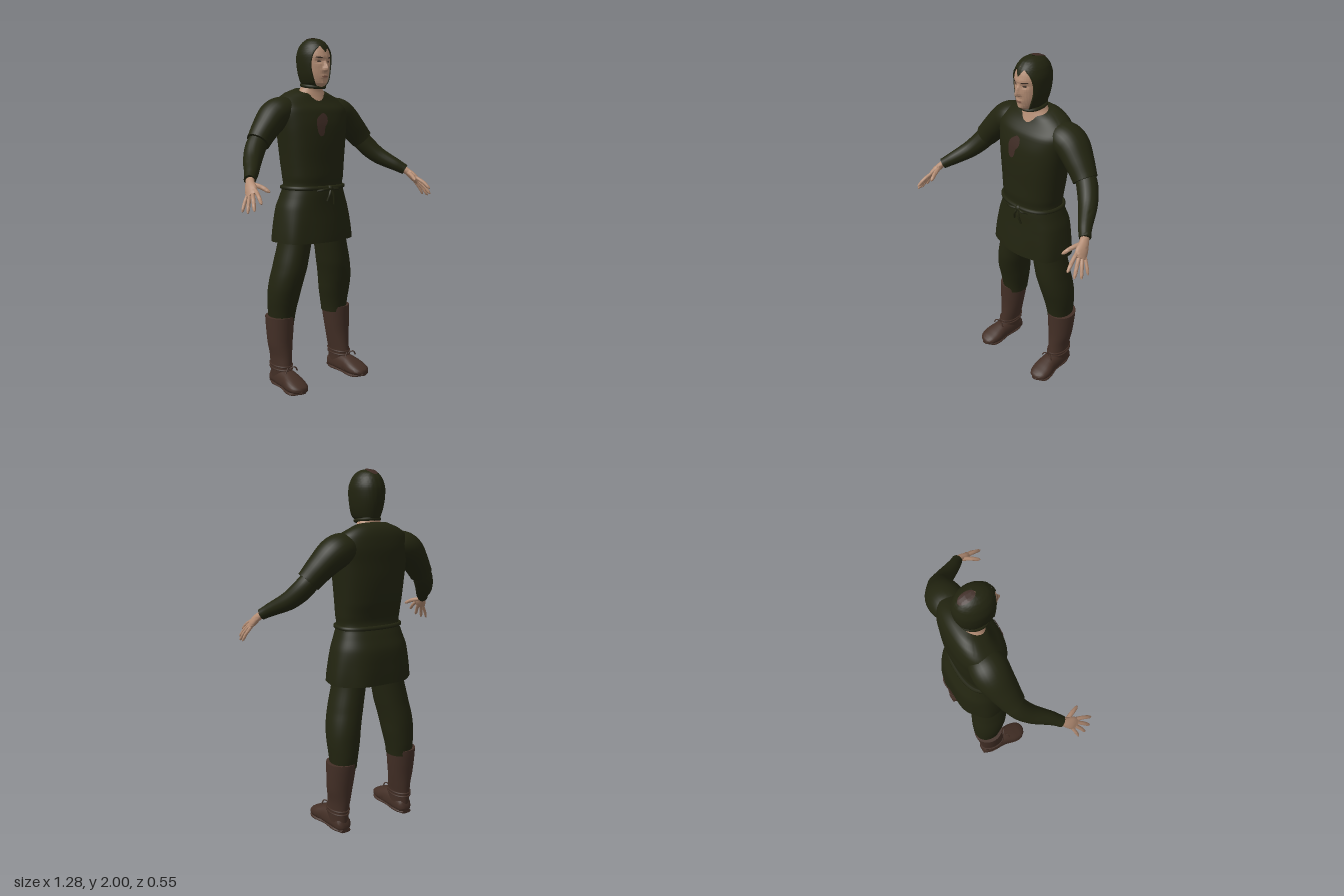
import * as THREE from 'three';
import { mergeVertices, toCreasedNormals } from 'three/addons/utils/BufferGeometryUtils.js';

const V = (x, y, z) => new THREE.Vector3(x, y, z);
const { lerp, clamp, smoothstep } = THREE.MathUtils;
const TAU = Math.PI * 2;
const gauss = (t, w) => Math.exp(-(t * t) / (w * w));

const material = (name, color, side = THREE.FrontSide) =>
  Object.assign(new THREE.MeshStandardMaterial({ color, side }), { name });

// Catmull-Rom blend of the rows of a table, all columns at once
function blend(rows, t) {
  const n = rows.length - 1, i = Math.min(Math.floor(t), n - 1), f = t - i;
  const [a, b, c, d] = [i - 1, i, i + 1, i + 2].map(k => rows[clamp(k, 0, n)]);
  return b.map((p, k) => p + 0.5 * f * (c[k] - a[k] + f * (2 * a[k] - 5 * p + 4 * c[k] - d[k]
    + f * (3 * (p - c[k]) + d[k] - a[k]))));
}

// Piecewise linear lookup in [key, value] pairs
function lookup(table, y) {
  for (let i = 1; i < table.length; i++) {
    const [a, p] = table[i - 1], [b, q] = table[i];
    if (y <= b) return lerp(p, q, clamp((y - a) / (b - a), 0, 1));
  }
  return table[table.length - 1][1];
}

// Grid surface from f(u, v, k); with caps, the end rings collapse (k = 0)
function grid(f, nu, nv, caps = false) {
  const rings = Array.from({ length: nv + 1 }, (_, j) => [j / nv, 1]);
  if (caps) { rings.unshift([0, 0]); rings.push([1, 0]); }
  const pos = [], index = [], w = nu + 1;
  rings.forEach(([v, k], j) => {
    for (let i = 0; i <= nu; i++) {
      pos.push(...f(i / nu, v, k).toArray());
      if (i < nu && j < rings.length - 1) {
        const a = j * w + i;
        index.push(a, a + 1, a + w + 1, a, a + w + 1, a + w);
      }
    }
  });
  const g = new THREE.BufferGeometry();
  g.setAttribute('position', new THREE.Float32BufferAttribute(pos, 3));
  g.setIndex(index);
  return toCreasedNormals(mergeVertices(g, 1e-5), 1.0);
}

// Body of stacked oval sections; rows are [y, cx, cz, rx, rFront, rBack]
function body(rows, n = 2) {
  const y0 = rows[0][0], y1 = rows[rows.length - 1][0];
  const at = y => {
    let i = 0;
    while (i < rows.length - 2 && y > rows[i + 1][0]) i++;
    const f = clamp((y - rows[i][0]) / (rows[i + 1][0] - rows[i][0]), 0, 1);
    return blend(rows, i + f);
  };
  const power = s => Math.sign(s) * Math.abs(s) ** (2 / n);
  const point = (y, a, off = 0, k = 1) => {
    const [, cx, cz, rx, rf, rb] = at(y), c = Math.cos(a);
    return V(cx + k * (rx + off) * power(Math.sin(a)), y, cz + k * ((c > 0 ? rf : rb) + off) * power(c));
  };
  const front = (x, y) => {
    const [, cx, cz, rx, rf] = at(y);
    return cz + rf * Math.max(0, 1 - Math.abs((x - cx) / rx) ** n) ** (1 / n);
  };
  const solid = (nu, nv, tweak = p => p) =>
    grid((u, v, k) => tweak(point(lerp(y0, y1, v), u * TAU, 0, k), u * TAU), nu, nv, true);
  return { at, point, front, solid };
}

// Limb along nodes [x, y, z, r1, r2]; ref sets the direction of r2
function limb(nodes, nu = 20, nv = 24, ref = V(0, 0, 1)) {
  const curve = new THREE.CatmullRomCurve3(nodes.map(p => V(p[0], p[1], p[2])));
  return grid((u, v, k) => {
    const c = curve.getPoint(v), t = curve.getTangent(v);
    const U = ref.clone().cross(t).normalize(), W = t.clone().cross(U);
    const r = blend(nodes, v * (nodes.length - 1)), a = u * TAU;
    return c.addScaledVector(U, k * r[3] * Math.cos(a)).addScaledVector(W, k * (r[4] ?? r[3]) * Math.sin(a));
  }, nu, nv, true);
}

const cord = (points, r, closed = false, n = 48) =>
  new THREE.TubeGeometry(new THREE.CatmullRomCurve3(points, closed), n, r, 6, closed);

// Thin round-ish plate draped on a surface given by place(x, y)
const patch = (place, cx, cy, rx, ry, wobble = () => 1) => grid((u, v) => {
  const a = u * TAU, r = (1 - v) * wobble(a);
  return place(cx + rx * r * Math.cos(a), cy + ry * r * Math.sin(a));
}, 28, 6);

export function createModel() {
  const cloth = material('dark green cloth', 0x222410, THREE.DoubleSide);
  const skin = material('skin', 0xb48d74, THREE.DoubleSide);
  const leather = material('brown leather', 0x432f26);
  const stain = material('brown patch', 0x3e2b24, THREE.DoubleSide);
  const dark = material('dark eyes and brows', 0x41332a, THREE.DoubleSide);
  const lips = material('lips', 0x8d6352, THREE.DoubleSide);

  const model = new THREE.Group();
  const add = (parent, name, geometry, mat) => {
    const mesh = new THREE.Mesh(geometry, mat);
    mesh.name = name;
    parent.add(mesh);
    return mesh;
  };

  // Tunic, with soft folds in the skirt and a neckline that dips at the front
  const torso = body([
    [0.855, 0, -0.11, 0.25, 0.17, 0.165], [0.95, 0, -0.11, 0.24, 0.163, 0.163],
    [1.05, 0, -0.11, 0.222, 0.153, 0.155], [1.13, 0, -0.11, 0.195, 0.148, 0.125],
    [1.18, 0, -0.11, 0.183, 0.143, 0.105], [1.22, 0, -0.11, 0.188, 0.148, 0.107],
    [1.3, 0, -0.11, 0.195, 0.147, 0.125], [1.42, 0, -0.11, 0.207, 0.147, 0.138],
    [1.52, 0, -0.11, 0.22, 0.138, 0.14], [1.6, 0, -0.115, 0.232, 0.12, 0.135],
    [1.65, 0, -0.12, 0.212, 0.095, 0.118], [1.685, 0, -0.12, 0.16, 0.075, 0.092],
    [1.71, 0, -0.12, 0.103, 0.062, 0.06]], 2.4);
  add(model, 'tunic', torso.solid(64, 60, (p, a) => {
    const fold = 1 + 0.02 * Math.cos(7 * a) * (1 - smoothstep(p.y, 0.86, 1.12));
    p.y -= 0.3 * (p.z + 0.12) * smoothstep(p.y, 1.6, 1.7);
    p.x *= fold;
    p.z = -0.11 + (p.z + 0.11) * fold;
    return p;
  }), cloth);
  add(model, 'chestPatch', patch((x, y) => V(x, y, torso.front(x, y) + 0.004), -0.03, 1.525, 0.038, 0.055,
    a => 1 + 0.25 * Math.cos(2 * a - 1.9) + 0.15 * Math.sin(3 * a)), stain);

  // Rope belt with a knot and hanging ends
  const loop = Array.from({ length: 32 }, (_, i) => torso.point(1.165, i / 32 * TAU, 0.003));
  add(model, 'belt', cord(loop, 0.012, true, 96), cloth);
  const knot = add(model, 'beltKnot', new THREE.SphereGeometry(0.02, 12, 8), cloth);
  knot.position.set(0.02, 1.16, 0.038);
  for (const [x, y] of [[0.045, 1.07], [-0.005, 1.09], [-0.07, 1.15], [0.085, 1.15]])
    add(model, 'beltEnd', cord([V(0.02, 1.16, 0.045), V(lerp(0.02, x, 0.6), (1.165 + y) / 2, 0.055),
      V(x, y, torso.front(x, y) + 0.006)], 0.007, false, 10), cloth);

  // Neck
  add(model, 'neck', body([
    [1.64, 0, -0.12, 0.1, 0.085, 0.065], [1.69, 0, -0.12, 0.096, 0.07, 0.055],
    [1.715, 0, -0.115, 0.073, 0.06, 0.053], [1.74, 0, -0.11, 0.059, 0.058, 0.056],
    [1.8, 0, -0.11, 0.056, 0.058, 0.056]]).solid(32, 16), skin);

  // Head: a modelled face inside a close hood
  const head = body([
    [1.725, 0, -0.09, 0.032, 0.072, 0.065], [1.75, 0, -0.09, 0.056, 0.098, 0.08],
    [1.79, 0, -0.09, 0.071, 0.107, 0.092], [1.83, 0, -0.09, 0.079, 0.108, 0.101],
    [1.87, 0, -0.09, 0.083, 0.108, 0.105], [1.91, 0, -0.09, 0.082, 0.106, 0.103],
    [1.95, 0, -0.09, 0.068, 0.09, 0.088], [1.975, 0, -0.09, 0.048, 0.064, 0.064],
    [1.989, 0, -0.09, 0.025, 0.034, 0.034], [1.994, 0, -0.09, 0.002, 0.002, 0.002]]);
  const relief = (x, y) => {
    const e = Math.abs(x) - 0.032;
    const nose = smoothstep(y, 1.806, 1.824) * (1 - smoothstep(y, 1.824, 1.888));
    return 0.028 * nose * gauss(x, 0.008 + 0.006 * (1 - smoothstep(y, 1.82, 1.85)))
      - 0.009 * gauss(e, 0.017) * gauss(y - 1.868, 0.011) + 0.004 * gauss(y - 1.892, 0.009) * gauss(x, 0.05)
      + 0.005 * gauss(y - 1.785, 0.01) * gauss(x, 0.022) + 0.007 * gauss(y - 1.748, 0.012) * gauss(x, 0.02);
  };
  add(model, 'face', grid((u, v) => {
    const p = head.point(lerp(1.725, 1.96, v), lerp(-1.35, 1.35, u));
    p.z += relief(p.x, p.y);
    return p;
  }, 72, 64), skin);
  const onFace = (x, y) => V(x, y, head.front(x, y) + relief(x, y) + 0.0025);
  for (const s of [-1, 1]) {
    add(model, 'eye', patch(onFace, s * 0.032, 1.867, 0.011, 0.0045), dark);
    add(model, 'eyebrow', patch((x, y) => onFace(x, y + 0.1 * (Math.abs(x) - 0.034)), s * 0.034, 1.888, 0.018, 0.004), dark);
  }
  add(model, 'mouth', patch(onFace, 0, 1.784, 0.021, 0.0055), lips);

  // Hood: wraps from one edge of the face opening round to the other
  const opening = [[1.73, 0.75], [1.76, 0.86], [1.83, 0.95], [1.88, 0.9], [1.92, 0.74], [1.945, 0.45], [1.955, 0]];
  const onHood = (y, a, off = 0.007) => {
    const p = head.point(y, a, off);
    p.y += 0.006 * smoothstep(y, 1.88, 1.99);
    return p;
  };
  add(model, 'hood', grid((u, v) => {
    const y = lerp(1.725, 1.994, v), a = lookup(opening, y);
    return onHood(y, lerp(a, TAU - a, u));
  }, 56, 54), cloth);
  add(model, 'hoodPeak', grid((u, v) =>
    onHood(lerp(1.915, 1.956, v), (2 * u - 1) * 0.42 * v), 12, 10), cloth);
  const crown = [[0.0, 0.026], [0.0, 0]];
  for (const s of [-1, 1])
    add(model, 'hoodEdge', cord(opening.slice(0, 6).map(([y, a]) => onHood(y, s * a, 0.004)), 0.005, false, 24), cloth);
  add(model, 'chinStrap', cord(Array.from({ length: 16 }, (_, i) => {
    const c = Math.cos(i / 16 * TAU);
    return V(0.062 * Math.sin(i / 16 * TAU), 1.736 - 0.009 * c, -0.095 + 0.072 * c);
  }), 0.01, true), cloth);

  // Worn patch on the crown, draped by finding the hood height at each point
  add(model, 'crownPatch', patch((x, z) => {
    let lo = 1.9, hi = 1.994;
    for (let i = 0; i < 24; i++) {
      const y = (lo + hi) / 2, [, , cz, rx, rf, rb] = head.at(y), r = z > cz ? rf : rb;
      if ((x / (rx + 0.009)) ** 2 + ((z - cz) / (r + 0.009)) ** 2 < 1) lo = y; else hi = y;
    }
    return V(x, lo + 0.006 * smoothstep(lo, 1.88, 1.99) + 0.002, z);
  }, 0, -0.128, 0.027, 0.045), stain);

  // Limbs are made for the left side and mirrored to the right
  const leg = body([
    [0.38, 0.195, -0.148, 0.073, 0.08, 0.08], [0.44, 0.193, -0.146, 0.079, 0.086, 0.088],
    [0.52, 0.188, -0.137, 0.09, 0.095, 0.098], [0.6, 0.18, -0.125, 0.094, 0.105, 0.108],
    [0.7, 0.159, -0.112, 0.095, 0.11, 0.11], [0.86, 0.126, -0.105, 0.092, 0.106, 0.106],
    [1.0, 0.105, -0.105, 0.1, 0.105, 0.11]], 2.1);
  const boot = body([
    [0.04, 0.218, -0.122, 0.05, 0.085, 0.08], [0.12, 0.218, -0.122, 0.052, 0.08, 0.084],
    [0.18, 0.214, -0.13, 0.058, 0.079, 0.081], [0.25, 0.214, -0.137, 0.07, 0.079, 0.081],
    [0.33, 0.211, -0.143, 0.078, 0.084, 0.086], [0.412, 0.208, -0.148, 0.083, 0.09, 0.09]]);
  const foot = body([
    [-0.206, 0.216, -0.03, 0.025, 0.012, 0.02], [-0.19, 0.216, -0.035, 0.043, 0.03, 0.05],
    [-0.12, 0.218, -0.04, 0.052, 0.036, 0.07], [-0.03, 0.221, -0.04, 0.056, 0.034, 0.065],
    [0.03, 0.226, -0.038, 0.064, 0.03, 0.048], [0.08, 0.228, -0.036, 0.056, 0.025, 0.03],
    [0.105, 0.226, -0.035, 0.036, 0.017, 0.016], [0.114, 0.225, -0.034, 0.012, 0.006, 0.006]], 2.4);
  const sole = body([
    [-0.206, 0.216, -0.009, 0.03, 0.008, 0.012], [-0.15, 0.217, -0.009, 0.05, 0.009, 0.012],
    [-0.05, 0.22, -0.011, 0.05, 0.008, 0.012], [0.03, 0.226, -0.011, 0.064, 0.009, 0.012],
    [0.08, 0.228, -0.014, 0.056, 0.009, 0.012], [0.114, 0.226, -0.022, 0.015, 0.006, 0.008]], 3);
  const across = V(0.03, -0.03, -0.055).normalize();
  // Finger paths: knuckle, tip, radius
  const fingers = {
    thumb: [[0.548, 1.222, 0.14], [0.511, 1.193, 0.228], 0.012],
    indexFinger: [[0.57, 1.192, 0.193], [0.589, 1.142, 0.272], 0.0105],
    middleFinger: [[0.584, 1.177, 0.183], [0.617, 1.106, 0.25], 0.0105],
    ringFinger: [[0.594, 1.168, 0.168], [0.633, 1.093, 0.213], 0.01],
    littleFinger: [[0.598, 1.163, 0.147], [0.638, 1.096, 0.168], 0.009],
  };

  for (const [side, s] of [['left', 1], ['right', -1]]) {
    const half = new THREE.Group();
    half.name = side + 'Limbs';
    half.scale.x = s;
    model.add(half);

    add(half, 'sleeve', limb([[0.13, 1.59, -0.13, 0.075, 0.085], [0.19, 1.59, -0.135, 0.086, 0.098],
      [0.24, 1.567, -0.135, 0.087, 0.098], [0.31, 1.5, -0.118, 0.075, 0.083], [0.372, 1.428, -0.098, 0.066, 0.067]], 28), cloth);
    add(half, 'forearm', limb([[0.34, 1.47, -0.115, 0.05], [0.388, 1.405, -0.095, 0.057],
      [0.445, 1.335, -0.04, 0.051], [0.515, 1.273, 0.06, 0.037], [0.55, 1.245, 0.1, 0.031]]), cloth);
    add(half, 'palm', limb([[0.542, 1.252, 0.09, 0.02, 0.024], [0.56, 1.23, 0.118, 0.019, 0.027],
      [0.574, 1.202, 0.15, 0.018, 0.036], [0.587, 1.175, 0.175, 0.011, 0.034]], 16, 12, across), skin);
    for (const [name, [a, b, r]] of Object.entries(fingers)) {
      const p = f => a.map((c, k) => lerp(c, b[k], f));
      const mid = p(0.5);
      mid[1] += 0.006;
      add(half, name, limb([[...p(-0.25), r], [...mid, r], [...p(0.88), r * 0.8], [...b, r * 0.3]], 10, 10, across), skin);
    }

    add(half, 'trouserLeg', leg.solid(32, 32), cloth);
    add(half, 'bootShaft', boot.solid(32, 24), leather);
    add(half, 'bootFoot', foot.solid(28, 32).rotateX(Math.PI / 2), leather);
    add(half, 'bootSole', sole.solid(28, 20).rotateX(Math.PI / 2), leather);
    // Ankle laces with a small bow
    for (const y of [0.108, 0.128])
      add(half, 'lace', cord(Array.from({ length: 16 }, (_, i) => boot.point(y, i / 16 * TAU, 0.002)), 0.005, true), leather);
    for (const d of [-1, 1])
      add(half, 'laceBow', cord([V(0.22, 0.118, -0.038), V(0.22 + d * 0.025, 0.132, -0.015),
        V(0.22 + d * 0.04, 0.108, -0.012)], 0.004, false, 10), leather);
  }
  return model;
}
